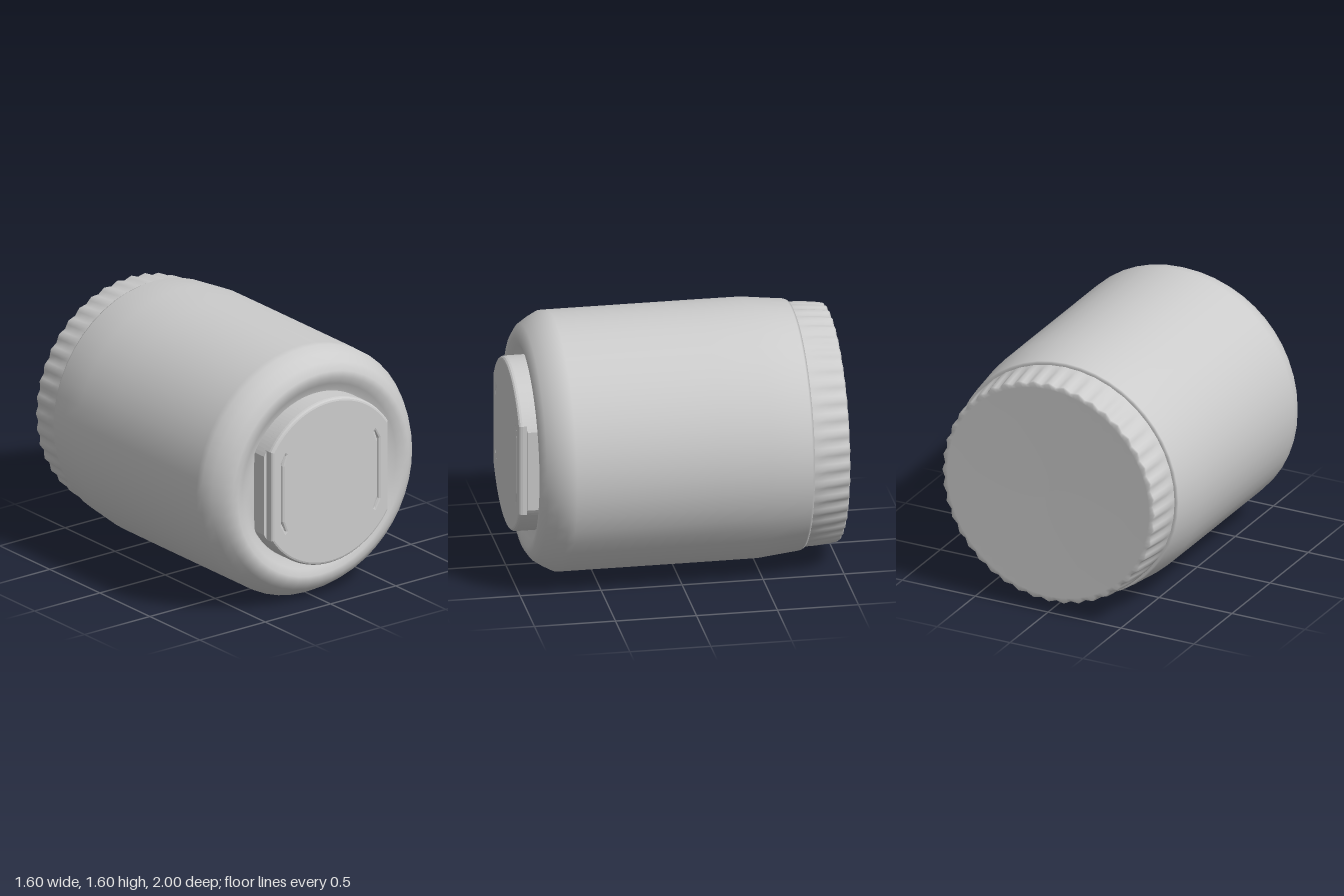
import * as THREE from 'three';

const CY = 0.8; // height of the long axis

const material = () => new THREE.MeshStandardMaterial({ color: 0xcccccc });

// Lathe turned so that its axis runs along z; profile is [radius, z] from back to front
function turned(profile, segments) {
  const points = profile.map(([r, z]) => new THREE.Vector2(r, z));
  return new THREE.LatheGeometry(points, segments).rotateX(Math.PI / 2);
}

function addPart(parent, name, geometry) {
  const mesh = new THREE.Mesh(geometry, material());
  mesh.name = name;
  parent.add(mesh);
  return mesh;
}

// Back lid: ribs deepen toward the rear edge
function ribbedLid() {
  const ribs = 44;
  const geo = turned([
    [0, -0.995], [0.5, -0.997], [0.69, -1], [0.715, -1], [0.722, -0.99],
    [0.73, -0.93], [0.738, -0.86], [0.745, -0.79], [0.748, -0.74],
  ], ribs * 4);
  const p = geo.attributes.position;
  for (let i = 0; i < p.count; i++) {
    const x = p.getX(i), y = p.getY(i), z = p.getZ(i);
    const r = Math.hypot(x, y);
    if (r < 0.7) continue;
    const fade = THREE.MathUtils.clamp((-0.76 - z) / 0.12, 0, 1);
    const s = 1 + 0.012 * fade * Math.cos(ribs * Math.atan2(y, x));
    p.setXY(i, x * s, y * s);
  }
  geo.computeVertexNormals();
  return geo;
}

// Disc outline with both sides cut straight
function clippedDisc(radius, halfWidth) {
  const a = Math.acos(halfWidth / radius);
  const shape = new THREE.Shape();
  shape.absarc(0, 0, radius, a, Math.PI - a, false);
  shape.absarc(0, 0, radius, Math.PI + a, 2 * Math.PI - a, false);
  shape.closePath();
  return shape;
}

// Slot beside each grip bar, its ends slanting toward the middle
function slot(side) {
  const pts = [[0.385, -0.2], [0.385, 0.2], [0.345, 0.27], [0.325, 0.25], [0.35, 0.18], [0.35, -0.18], [0.325, -0.25], [0.345, -0.27]];
  return new THREE.Path(pts.map(([x, y]) => new THREE.Vector2(side * x, y)));
}

export function createModel() {
  const model = new THREE.Group();
  model.name = 'container';
  const axis = new THREE.Group();
  axis.name = 'barrel';
  axis.position.y = CY;
  model.add(axis);

  // Main body with tapered rear shoulder and rounded front rim
  addPart(axis, 'body', turned([
    [0.73, -0.765], [0.76, -0.775], [0.768, -0.76], [0.78, -0.65], [0.797, -0.5],
    [0.798, -0.2], [0.798, 0.3], [0.798, 0.7], [0.797, 0.75], [0.765, 0.81],
    [0.725, 0.87], [0.675, 0.904], [0.635, 0.904], [0.59, 0.885], [0.55, 0.86],
    [0.5, 0.85], [0, 0.85],
  ], 48));

  addPart(axis, 'lid', ribbedLid());

  // Front plug: clipped disc with two slots
  const outline = clippedDisc(0.515, 0.43);
  outline.holes.push(slot(1), slot(-1));
  const plug = new THREE.ExtrudeGeometry(outline, {
    depth: 0.05, bevelEnabled: true, bevelThickness: 0.025, bevelSize: 0.02,
    bevelOffset: 0, bevelSegments: 3, curveSegments: 24,
  });
  addPart(axis, 'plug', plug).position.z = 0.925;

  // Solid base below the slots
  const base = new THREE.ExtrudeGeometry(clippedDisc(0.535, 0.47), {
    depth: 0.11, bevelEnabled: false, curveSegments: 24,
  });
  addPart(axis, 'plugBase', base).position.z = 0.84;

  // Raised grip bars along the straight sides
  for (const side of [1, -1]) {
    const path = new THREE.CatmullRomCurve3([
      [0.365, -0.32], [0.405, -0.25], [0.415, -0.15], [0.415, 0.15], [0.405, 0.25], [0.365, 0.32],
    ].map(([x, y]) => new THREE.Vector3(side * x, y, 0)));
    const bar = new THREE.TubeGeometry(path, 24, 0.025, 8);
    addPart(axis, side > 0 ? 'leftGripBar' : 'rightGripBar', bar).position.z = 0.975;
  }
  return model;
}
